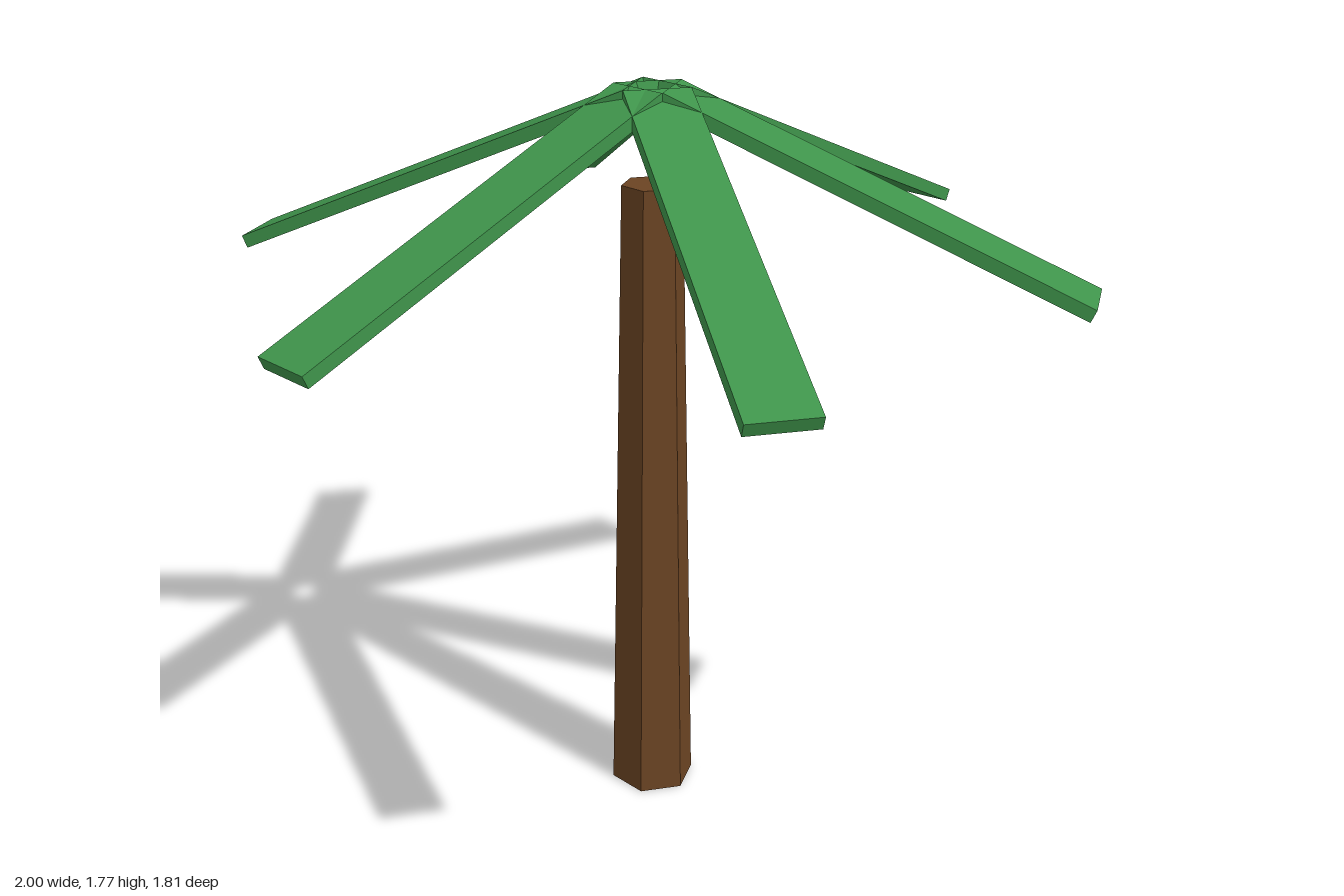
import * as THREE from 'three';

const FROND_COUNT = 6;
const DROOP = 0.4; // downward tilt of each frond, radians

export function createModel() {
  const model = new THREE.Group();
  model.name = 'palmTree';

  const bark = new THREE.MeshStandardMaterial({ color: 0x6b4423 });
  bark.name = 'bark brown';
  const leaf = new THREE.MeshStandardMaterial({ color: 0x3f944b });
  leaf.name = 'leaf green';

  // Tapered six-sided trunk, flat faces
  const trunkGeometry = new THREE.CylinderGeometry(0.072, 0.103, 1.55, 6).toNonIndexed();
  trunkGeometry.computeVertexNormals();
  const trunk = new THREE.Mesh(trunkGeometry, bark);
  trunk.name = 'trunk';
  trunk.position.y = 0.775;
  model.add(trunk);

  // Ring of drooping plank fronds, leaving a small opening at the crown
  const crown = new THREE.Group();
  crown.name = 'crown';
  const frondGeometry = new THREE.BoxGeometry(1.037, 0.031, 0.155);
  frondGeometry.rotateZ(-DROOP);
  frondGeometry.translate(0.517, 1.556, 0);
  for (let i = 0; i < FROND_COUNT; i++) {
    const frond = new THREE.Mesh(frondGeometry, leaf);
    frond.name = `frond${i + 1}`;
    frond.rotation.y = (i / FROND_COUNT) * Math.PI * 2;
    crown.add(frond);
  }
  model.add(crown);

  return model;
}
